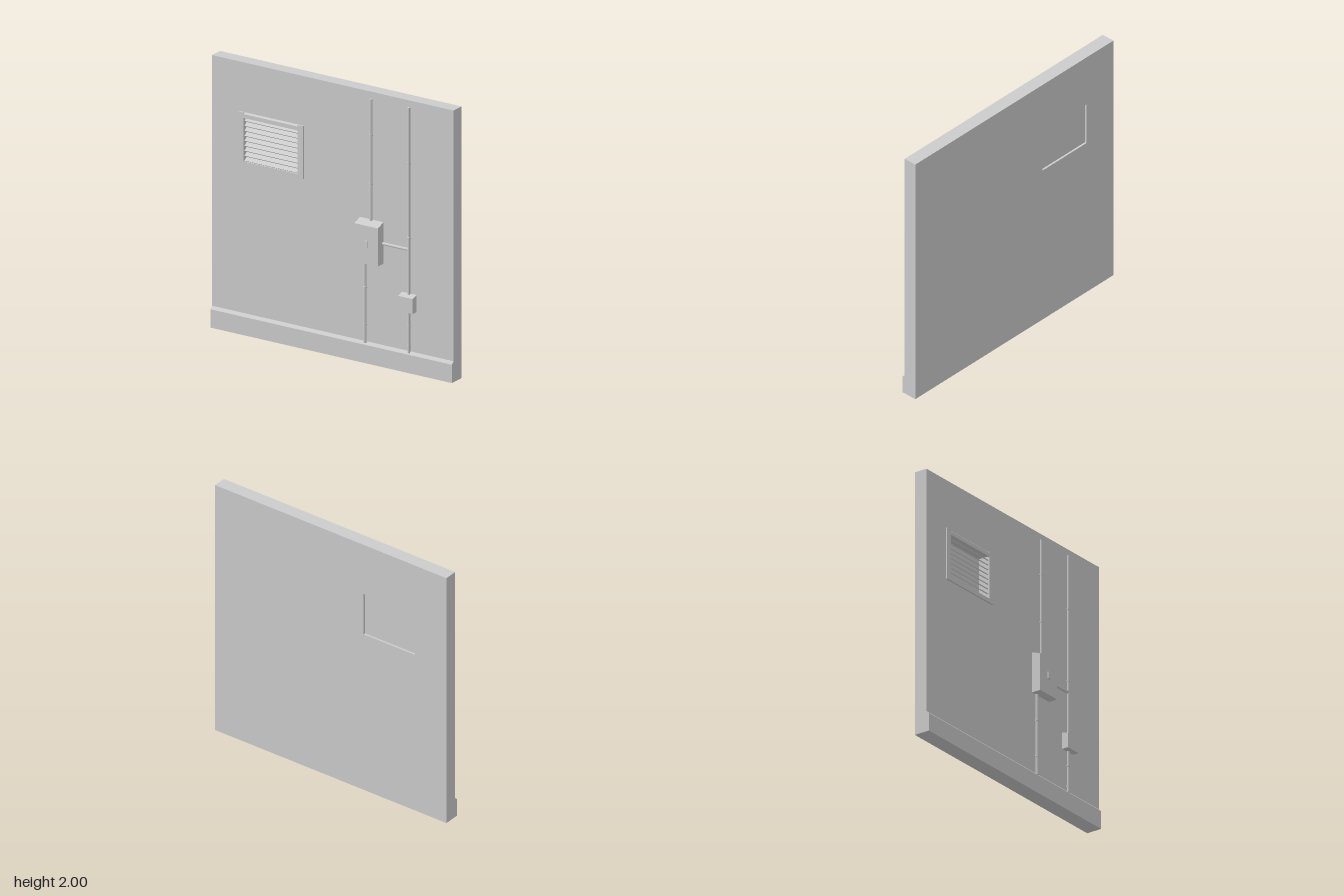
import * as THREE from 'three';

const FACE = 0.01;   // front plane of the wall
const BACK = -0.09;  // rear plane of the wall
const mat = new THREE.MeshStandardMaterial({ color: 0xcccccc, flatShading: true });

function add(group, name, geometry, x = 0, y = 0, z = 0) {
  const mesh = new THREE.Mesh(geometry, mat);
  mesh.name = name;
  mesh.position.set(x, y, z);
  group.add(mesh);
  return mesh;
}

function box(group, name, x0, x1, y0, y1, z0, z1) {
  return add(group, name, new THREE.BoxGeometry(x1 - x0, y1 - y0, z1 - z0),
    (x0 + x1) / 2, (y0 + y1) / 2, (z0 + z1) / 2);
}

// Solid with a [z, y] side profile, swept from x0 to x1
function sweepX(group, name, profile, x0, x1) {
  const shape = new THREE.Shape(profile.map(([z, y]) => new THREE.Vector2(-z, y)));
  const geo = new THREE.ExtrudeGeometry(shape, { depth: x1 - x0, bevelEnabled: false });
  geo.rotateY(Math.PI / 2);
  return add(group, name, geo, x0);
}

// Box whose top slopes down toward the front
function slopedBox(group, name, x0, x1, y0, yFront, yBack, z1, z0 = FACE) {
  return sweepX(group, name, [[z0, y0], [z1, y0], [z1, yFront], [z0, yBack]], x0, x1);
}

function rectangle(Type, x0, x1, y0, y1) {
  return new Type([[x0, y0], [x1, y0], [x1, y1], [x0, y1]].map(p => new THREE.Vector2(...p)));
}

export function createModel() {
  const root = new THREE.Group();
  root.name = 'wallPanel';

  // Wall slab with the vent opening
  const vent = { x0: -0.73, x1: -0.285, y0: 1.27, y1: 1.6 };
  const wall = rectangle(THREE.Shape, -1, 1, 0, 2);
  wall.holes.push(rectangle(THREE.Path, vent.x0, vent.x1, vent.y0, vent.y1));
  add(root, 'wall', new THREE.ExtrudeGeometry(wall, { depth: FACE - BACK, bevelEnabled: false }), 0, 0, BACK);

  // Base skirting with a bevelled top
  slopedBox(root, 'skirting', -1, 1, 0, 0.135, 0.155, 0.03);

  // Vent: frame rails, closing panel and tilted slats
  const ventGroup = new THREE.Group();
  ventGroup.name = 'vent';
  root.add(ventGroup);
  const rail = 0.022;
  box(ventGroup, 'ventSideRail', -0.775, vent.x0, 1.245, 1.635, FACE, rail);
  box(ventGroup, 'ventSideRail', vent.x1, -0.24, 1.245, 1.635, FACE, rail);
  box(ventGroup, 'ventBottomRail', vent.x0, vent.x1, 1.245, 1.275, FACE, rail);
  slopedBox(ventGroup, 'ventTopRail', vent.x0, vent.x1, 1.595, 1.624, 1.635, rail);
  box(ventGroup, 'ventBackPanel', vent.x0, vent.x1, vent.y0, vent.y1, -0.075, -0.07);
  const slats = 9, pitch = (vent.y1 - vent.y0) / slats;
  for (let i = 0; i < slats; i++) {
    const y = vent.y0 + (i + 0.5) * pitch;
    const slat = add(ventGroup, 'ventSlat', new THREE.BoxGeometry(vent.x1 - vent.x0, 0.007, 0.042),
      (vent.x0 + vent.x1) / 2, y, -0.006);
    slat.rotation.x = 0.65;
  }

  // Main electrical box with its latch, and the small junction box
  slopedBox(root, 'electricalBox', 0.225, 0.42, 0.755, 1.035, 1.06, 0.08);
  box(root, 'latch', 0.31, 0.335, 0.875, 0.925, 0.08, 0.09);
  slopedBox(root, 'junctionBox', 0.573, 0.695, 0.455, 0.565, 0.58, 0.06);

  // Vertical conduits with clamps: x, bottom, top, clamp heights
  const pipeZ = 0.018, radius = 0.011;
  const runs = [
    [0.322, 1.04, 1.95, [1.325, 1.685]],
    [0.272, 0.145, 0.77, [0.285, 0.555]],
    [0.635, 0.565, 1.95, [0.99, 1.54]],
    [0.635, 0.145, 0.47, [0.19, 0.345]],
  ];
  for (const [x, y0, y1, clamps] of runs) {
    add(root, 'conduit', new THREE.CylinderGeometry(radius, radius, y1 - y0, 8), x, (y0 + y1) / 2, pipeZ);
    for (const y of clamps) {
      add(root, 'conduitClamp', new THREE.CylinderGeometry(0.0145, 0.0145, 0.012, 8), x, y, pipeZ);
    }
  }

  // Cross conduit between the main box and the long run
  const cross = add(root, 'crossConduit', new THREE.CylinderGeometry(radius, radius, 0.225, 8), 0.5225, 0.905, pipeZ);
  cross.rotation.z = Math.PI / 2;

  return root;
}
